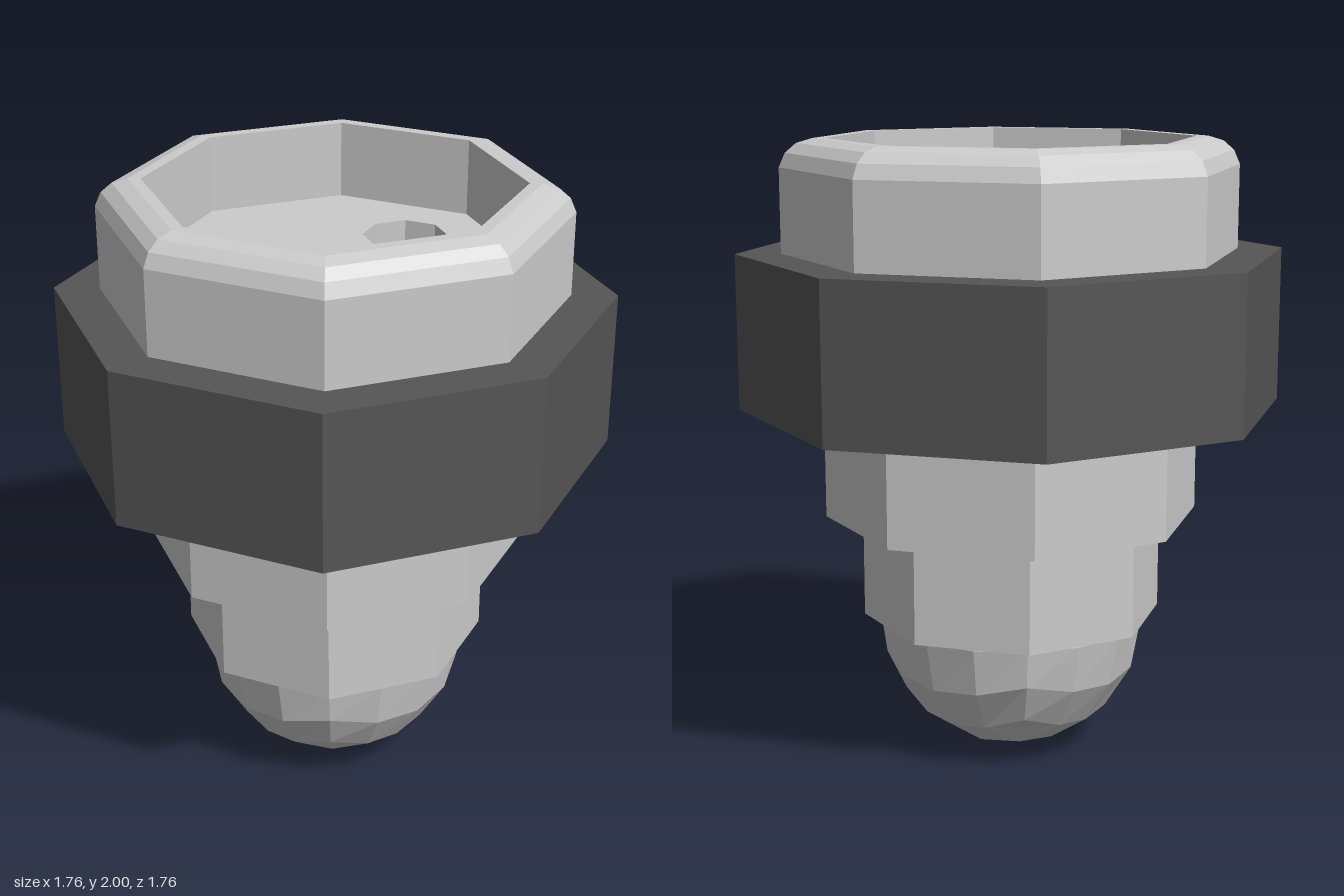
import * as THREE from 'three';

const SIDES = 8;
const grey = new THREE.MeshStandardMaterial({ color: 0xcccccc, flatShading: true });
const dark = new THREE.MeshStandardMaterial({ color: 0x555555, flatShading: true });

function part(name, geometry, material = grey) {
  const flat = geometry.index ? geometry.toNonIndexed() : geometry;
  flat.computeVertexNormals();
  const mesh = new THREE.Mesh(flat, material);
  mesh.name = name;
  return mesh;
}

// Octagonal prism between two heights, corners on the axes
function prism(name, radius, bottom, top, material) {
  const geometry = new THREE.CylinderGeometry(radius, radius, top - bottom, SIDES);
  geometry.translate(0, (bottom + top) / 2, 0);
  return part(name, geometry, material);
}

// Octagon outline with corners on the axes
function octagon(PathType, radius, cx = 0) {
  const points = [];
  for (let i = 0; i < SIDES; i++) {
    const a = (i / SIDES) * Math.PI * 2;
    points.push(new THREE.Vector2(cx + radius * Math.cos(a), radius * Math.sin(a)));
  }
  return new PathType(points);
}

// Rounded tip: a subdivided cube blown up into a sphere
function tip(radius) {
  const geometry = new THREE.BoxGeometry(2, 2, 2, 4, 4, 4);
  const pos = geometry.attributes.position;
  const v = new THREE.Vector3();
  const spread = (c) => Math.tan((c * Math.PI) / 4);
  for (let i = 0; i < pos.count; i++) {
    v.fromBufferAttribute(pos, i);
    v.set(spread(v.x), spread(v.y), spread(v.z)).setLength(radius);
    pos.setXYZ(i, v.x, v.y, v.z);
  }
  geometry.translate(0, radius, 0);
  return part('roundedTip', geometry);
}

export function createModel() {
  const model = new THREE.Group();
  model.name = 'plug';

  model.add(tip(0.435));
  model.add(prism('lowerNeck', 0.49, 0.445, 0.78));
  model.add(prism('upperNeck', 0.61, 0.78, 1.14));
  model.add(prism('collar', 0.88, 1.14, 1.64, dark));

  // Cap wall with a rounded rim, continuing down into the recess
  const profile = [
    [0.735, 1.64], [0.735, 1.91], [0.715, 1.955], [0.68, 1.985],
    [0.63, 2], [0.59, 2], [0.59, 1.75],
  ].map(([r, y]) => new THREE.Vector2(r, y));
  model.add(part('capRim', new THREE.LatheGeometry(profile, SIDES)));

  // Recess floor with two pin holes that reach down to the collar
  const floor = octagon(THREE.Shape, 0.59);
  for (const side of [-1, 1]) floor.holes.push(octagon(THREE.Path, 0.136, side * 0.307));
  const floorGeometry = new THREE.ExtrudeGeometry(floor, { depth: 0.11, bevelEnabled: false });
  floorGeometry.rotateX(-Math.PI / 2);
  floorGeometry.translate(0, 1.64, 0);
  model.add(part('socketFloor', floorGeometry));

  return model;
}
